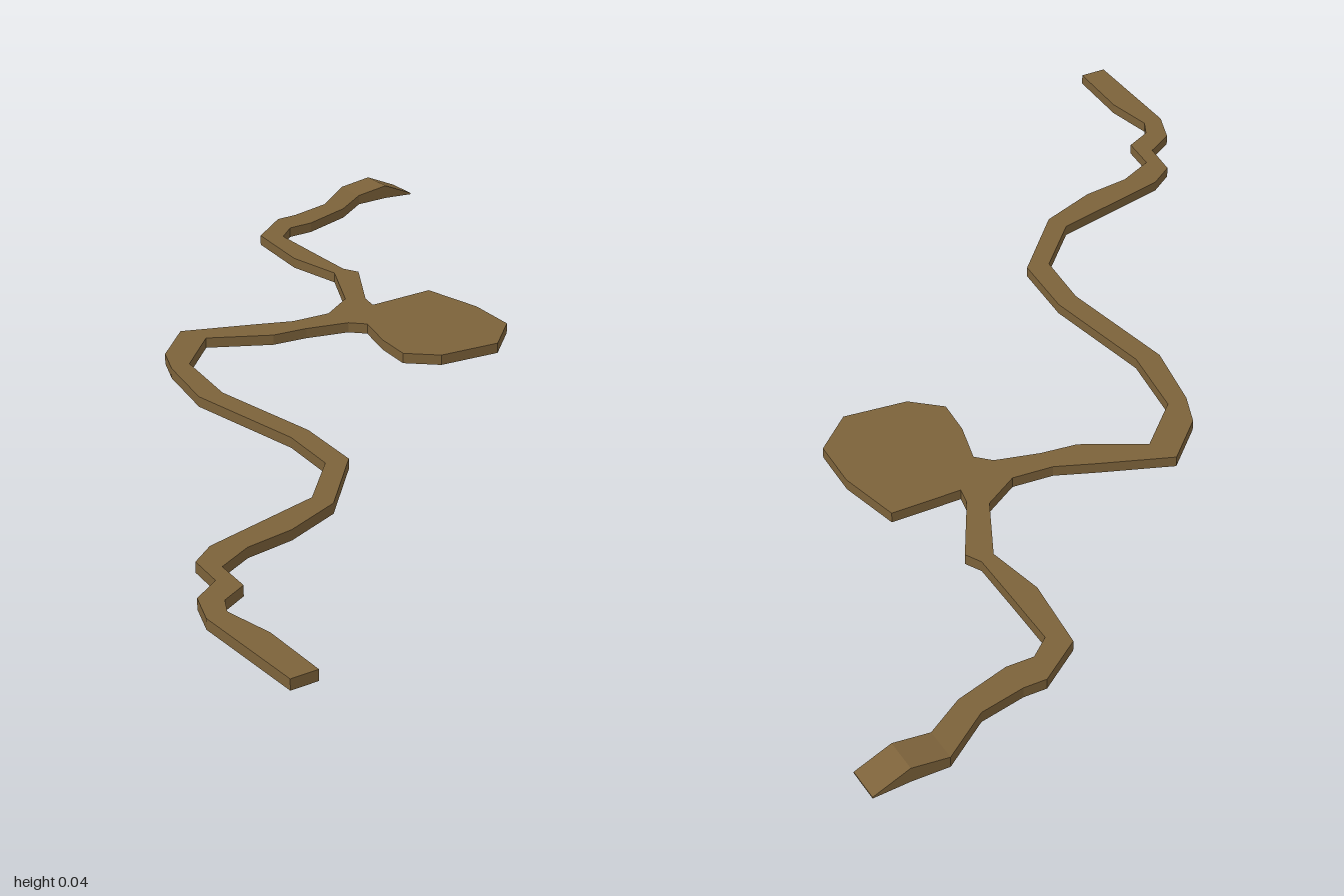
import * as THREE from 'three';

const BOTTOM = 0.006, TOP = 0.029;

// Outline points [x, z] of the west/north bank, running from the front end to the ramp
const outerBank = [
  [-0.825, 1], [-0.825, 0.73], [-0.797, 0.655], [-0.732, 0.615], [-0.722, 0.53], [-0.665, 0.49],
  [-0.39, 0.425], [-0.28, 0.31], [-0.268, 0.17], [-0.312, -0.11], [-0.28, -0.27], [-0.25, -0.345],
  [-0.155, -0.435], [0, -0.375], [0.08, -0.342], [0.17, -0.335], [0.25, -0.385],
  [0.32, -0.53], [0.296, -0.66], [0.314, -0.83], [0.41, -0.9], [0.46, -0.9], [0.56, -0.922], [0.665, -1],
];

// The opposite bank, back from the ramp to the rounded clearing
const innerBankBack = [
  [0.665, -0.925], [0.58, -0.87], [0.46, -0.833], [0.4, -0.833], [0.355, -0.795], [0.353, -0.66],
  [0.352, -0.54], [0.37, -0.505], [0.288, -0.36], [0.28, -0.32],
];

const clearing = [
  [0.435, -0.32], [0.465, -0.18], [0.46, -0.062], [0.375, 0.016],
  [0.235, 0], [0.173, -0.055], [0.18, -0.14], [0.205, -0.235],
];

// From the clearing to the front end
const innerBankFront = [
  [0.175, -0.265], [0.08, -0.29], [0, -0.3], [-0.13, -0.37], [-0.235, -0.27], [-0.26, -0.1],
  [-0.219, 0.16], [-0.23, 0.32], [-0.37, 0.47], [-0.5, 0.52], [-0.61, 0.535], [-0.692, 0.575],
  [-0.7, 0.66], [-0.76, 0.69], [-0.78, 0.73], [-0.76, 0.84], [-0.765, 1],
];

export function createModel() {
  const group = new THREE.Group();
  const earth = new THREE.MeshStandardMaterial({ color: 0x7c623a });
  earth.name = 'earth brown';

  const add = (name, geometry) => {
    const mesh = new THREE.Mesh(geometry, earth);
    mesh.name = name;
    group.add(mesh);
  };

  // Winding path with its clearing, one flat slab
  const outline = [...outerBank, ...innerBankBack, ...clearing, ...innerBankFront]
    .map(([x, z]) => new THREE.Vector2(x, -z));
  const path = new THREE.ExtrudeGeometry(new THREE.Shape(outline), { depth: TOP - BOTTOM, bevelEnabled: false });
  path.rotateX(-Math.PI / 2).translate(0, BOTTOM, 0);
  add('path', path);

  // Raised end that slopes down to the ground
  const profile = [[0.665, BOTTOM], [0.745, BOTTOM], [0.822, 0], [0.822, 0.003], [0.745, 0.038], [0.665, TOP]]
    .map(([x, y]) => new THREE.Vector2(x, y));
  const ramp = new THREE.ExtrudeGeometry(new THREE.Shape(profile), { depth: 0.075, bevelEnabled: false });
  ramp.translate(0, 0, -1);
  add('endRamp', ramp);

  return group;
}
